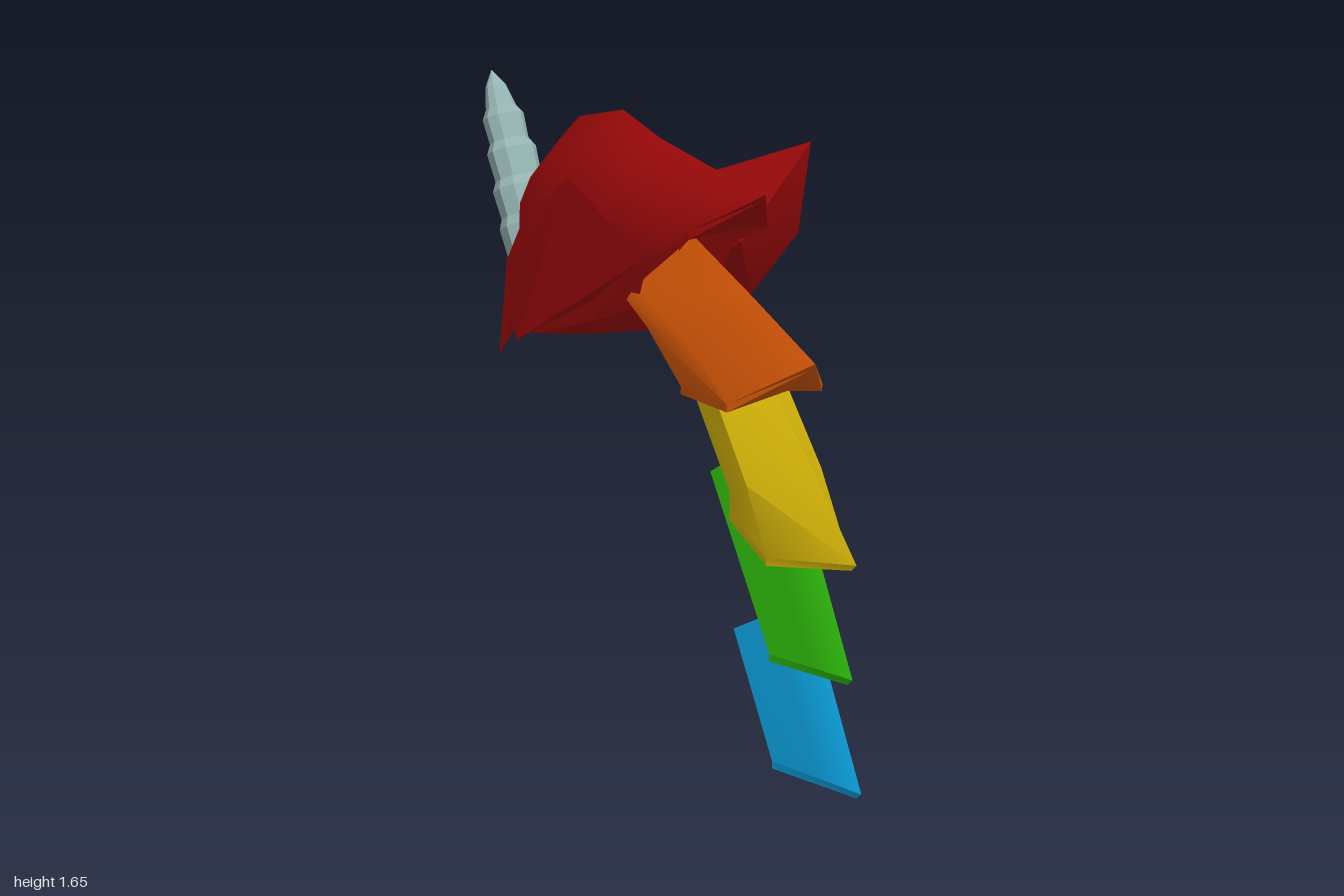
import * as THREE from 'three';
import { toCreasedNormals } from 'three/addons/utils/BufferGeometryUtils.js';

const mat = (name, color) =>
  new THREE.MeshStandardMaterial({ name, color, side: THREE.DoubleSide });

// Surface through rows of [x, y, z] points; edges sharper than crease stay hard
function sheet(name, rows, material, crease = 0.7) {
  const n = rows[0].length, index = [];
  for (let i = 0; i < rows.length - 1; i++)
    for (let j = 0; j < n - 1; j++) {
      const a = i * n + j, b = a + n;
      index.push(a, a + 1, b, a + 1, b + 1, b);
    }
  const geo = new THREE.BufferGeometry();
  geo.setAttribute('position', new THREE.Float32BufferAttribute(rows.flat(2), 3));
  geo.setIndex(index);
  const mesh = new THREE.Mesh(toCreasedNormals(geo, crease), material);
  mesh.name = name;
  return mesh;
}

const flip = ([x, y, z]) => [-x, y, z];
// Half row starting at the ridge (x = 0) becomes a full symmetric row
const tent = (half) => [...half.slice(1).reverse().map(flip), ...half];
const mirrorRows = (rows) => rows.map((r) => r.map(flip).reverse());

// Folded plate with a thin rim and a notched flange under its front edge
function plate(name, halves, material, crease) {
  const group = new THREE.Group();
  group.name = name;
  const edge = halves[0];
  const wide = edge.reduce((a, b) => (b[0] > a[0] ? b : a));
  const inward = (x) => 1 - x / wide[0];
  const rim = edge.map(([x, y, z]) => [x, y - 0.022, z - 0.02 * inward(x)]);
  const flange = rim.map(([x, y, z]) => {
    const k = 0.65 * inward(x);
    return [x, y + (wide[1] - 0.022 - y) * k, z + (wide[2] - z) * k];
  });
  group.add(
    sheet(name + 'Shell', halves.map(tent), material, crease),
    sheet(name + 'Flange', [flange, rim, edge].map(tent), material, 0.5)
  );
  return group;
}

export function createModel() {
  const red = mat('red', 0xa40a0b), orange = mat('orange', 0xd35608);
  const yellow = mat('yellow', 0xd4b408), green = mat('green', 0x2cb20b);
  const blue = mat('blue', 0x0b9bd6), horn = mat('paleGrey', 0x93b3b1);
  const model = new THREE.Group();
  model.name = 'hornedArmour';

  // Neck plates, lowest first: each row runs from ridge to back edge
  model.add(
    plate('lowestNeckPlate', [
      [[0, 0.03, 1.0], [0.05, 0.03, 0.865], [0.1, 0.03, 0.73]],
      [[0, 0.5, 0.74], [0.055, 0.43, 0.645], [0.11, 0.36, 0.55]],
    ], blue, 3.1),
    plate('lowerNeckPlate', [
      [[0, 0.345, 0.945], [0.047, 0.343, 0.823], [0.095, 0.342, 0.7]],
      [[0, 0.95, 0.61], [0.052, 0.865, 0.515], [0.105, 0.78, 0.42]],
    ], green, 3.1),
    plate('middleNeckPlate', [
      [[0, 0.675, 0.945], [0.125, 0.64, 0.72], [0.115, 0.7, 0.53]],
      [[0, 0.85, 0.77], [0.122, 0.81, 0.62], [0.115, 0.76, 0.53]],
      [[0, 1.1, 0.5], [0.115, 1.05, 0.42], [0.11, 0.99, 0.34]],
    ], yellow, 0.7),
    plate('upperNeckPlate', [
      [[0, 1.165, 0.745], [0.155, 1.03, 0.57], [0.15, 1.01, 0.34]],
      [[0, 1.27, 0.46], [0.145, 1.13, 0.38], [0.15, 1.13, 0.17]],
      [[0, 1.37, 0.17], [0.13, 1.22, 0.07], [0.145, 1.18, 0.05]],
    ], orange, 0.7)
  );

  // Head crest, curving from the front tip over and down to the horn
  model.add(plate('headCrest', [
    [[0, 1.56, 0.51], [0.128, 1.44, 0.34], [0.132, 1.4, 0.3]],
    [[0, 1.582, 0.25], [0.13, 1.47, 0.2], [0.138, 1.33, 0.165]],
    [[0, 1.61, 0], [0.13, 1.5, 0], [0.145, 1.32, 0]],
    [[0, 1.655, -0.2], [0.125, 1.54, -0.2], [0.15, 1.3, -0.2]],
    [[0, 1.59, -0.45], [0.12, 1.48, -0.43], [0.155, 1.27, -0.4]],
    [[0, 1.5, -0.57], [0.115, 1.4, -0.55], [0.155, 1.2, -0.48]],
    [[0, 1.37, -0.66], [0.11, 1.3, -0.63], [0.15, 1.12, -0.55]],
    [[0, 1.2, -0.69], [0.1, 1.15, -0.66], [0.15, 1.03, -0.58]],
    [[0, 1.0, -0.65], [0.08, 0.98, -0.64], [0.13, 0.93, -0.6]],
  ], red, 1.2));

  // Side frill: root, top edge, outer bulge, low edge and inner low edge
  const A = [0.395, 1.585, 0.165], B = [0.16, 1.33, 0.17];
  const E = [0.435, 1.29, 0.06], D = [0.4, 1.055, -0.13];
  const frill = [
    [B, A, E, D, B],
    [[0.145, 1.33, -0.1], [0.28, 1.455, -0.14], [0.4, 1.25, -0.16], [0.33, 1.045, -0.28], [0.15, 1.12, -0.15]],
    [[0.145, 1.3, -0.35], [0.19, 1.36, -0.42], [0.29, 1.2, -0.39], [0.24, 1.03, -0.42], [0.14, 1.09, -0.38]],
    [[0.14, 1.27, -0.5], [0.145, 1.29, -0.54], [0.2, 1.12, -0.56], [0.205, 0.98, -0.52], [0.14, 1.04, -0.54]],
    [[0.1, 1.1, -0.62], [0.12, 1.08, -0.635], [0.17, 0.98, -0.64], [0.195, 0.83, -0.63], [0.13, 0.94, -0.61]],
  ];
  const frillFront = [[A, E], [B, D]];

  // Cheek below the frill, from its top over the jaw edge to the throat line
  const cheek = [
    [[0.14, 1.33, 0.16], [0.15, 1.3, -0.2], [0.155, 1.2, -0.45], [0.16, 1.1, -0.58]],
    [[0.13, 1.16, 0.08], [0.148, 1.04, -0.2], [0.155, 0.94, -0.46], [0.14, 0.92, -0.57]],
    [[0, 1.08, 0.08], [0, 0.99, -0.2], [0, 0.91, -0.46], [0, 0.915, -0.56]],
  ];

  for (const [side, m] of [['left', (r) => r], ['right', mirrorRows]])
    model.add(
      sheet(side + 'Frill', m(frill), red, 1.1),
      sheet(side + 'FrillFront', m(frillFront), red, 3.1),
      sheet(side + 'Cheek', m(cheek), red, 0.8)
    );

  // Ringed horn leaning backward
  const profile = [
    [0, 0], [0.085, 0], [0.092, 0.12], [0.094, 0.14], [0.1, 0.26], [0.086, 0.29],
    [0.092, 0.38], [0.076, 0.41], [0.081, 0.5], [0.064, 0.53], [0.068, 0.61],
    [0.05, 0.64], [0.034, 0.71], [0, 0.765],
  ].map(([r, t]) => new THREE.Vector2(r, t));
  const hornGeo = toCreasedNormals(new THREE.LatheGeometry(profile, 10), 0.3);
  hornGeo.scale(1, 1, 0.85);
  const hornMesh = new THREE.Mesh(hornGeo, horn);
  hornMesh.name = 'horn';
  hornMesh.position.set(0, 0.957, -0.652);
  hornMesh.rotation.x = -Math.atan2(0.348, 0.673);
  model.add(hornMesh);

  return model;
}
